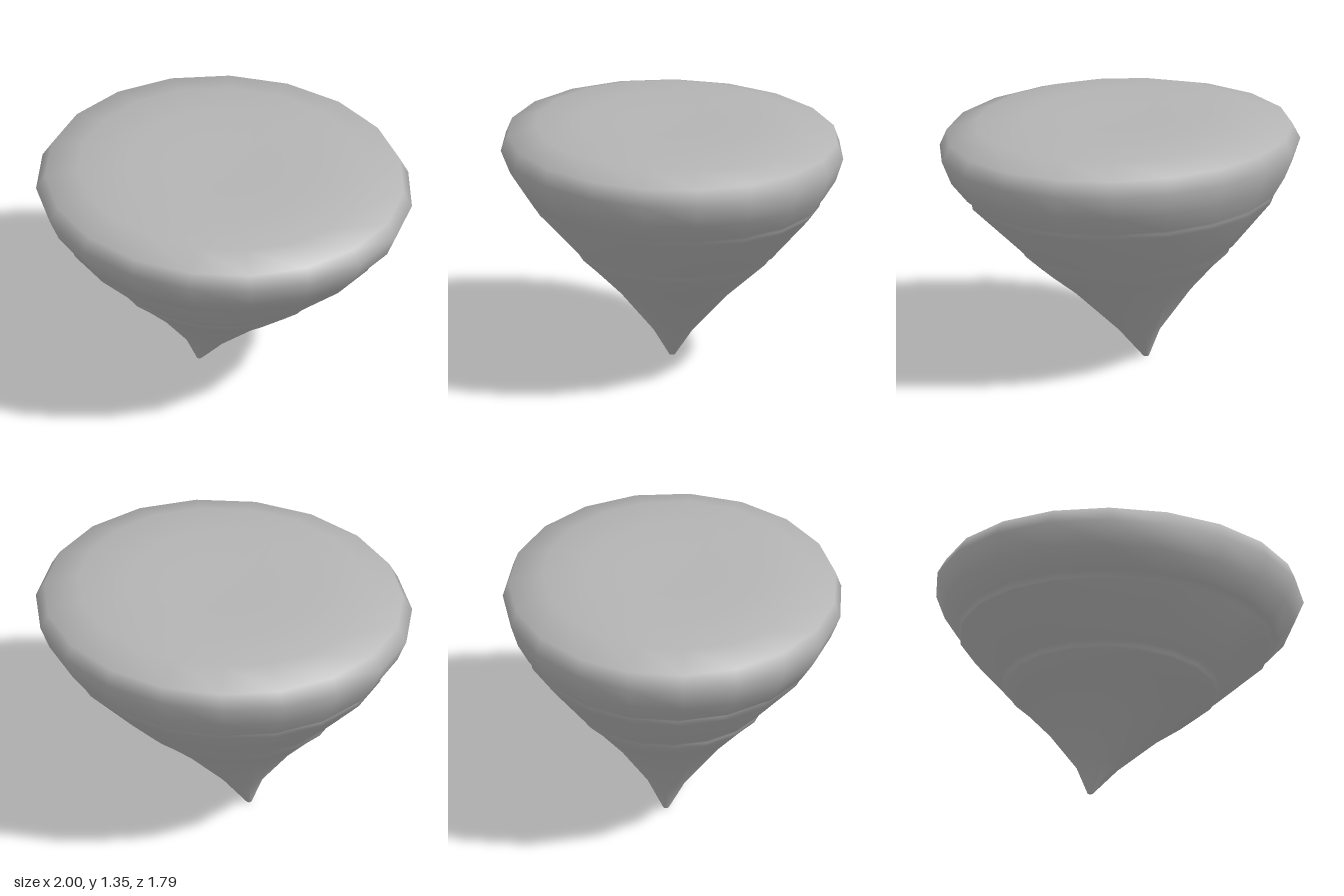
import * as THREE from 'three';
import { mergeVertices } from 'three/addons/utils/BufferGeometryUtils.js';

const SIDES = 19;

// Cross-sections from the tip up: height, min x, max x, min z, max z
const RINGS = [
  [0, -0.145, -0.145, -0.045, -0.045],
  [0, -0.16, -0.13, -0.06, -0.03],
  [0.16, -0.22, 0.01, -0.145, 0.07],
  [0.4, -0.4, 0.27, -0.33, 0.27],
  [0.54, -0.53, 0.45, -0.46, 0.41],
  [0.62, -0.61, 0.54, -0.545, 0.495],
  [0.638, -0.605, 0.55, -0.54, 0.5], // lower groove
  [0.66, -0.625, 0.575, -0.58, 0.52],
  [0.91, -0.86, 0.835, -0.78, 0.75],
  [0.932, -0.85, 0.84, -0.78, 0.725], // upper groove
  [0.953, -0.875, 0.86, -0.8, 0.78],
  [1.06, -0.95, 0.95, -0.86, 0.85],
  [1.185, -1, 1, -0.9, 0.9],
  [1.27, -0.95, 0.955, -0.87, 0.87],
  [1.325, -0.77, 0.78, -0.69, 0.72],
  [1.345, -0.52, 0.53, -0.48, 0.5],
  [1.34, -0.22, 0.25, -0.22, 0.22],
  [1.337, 0.02, 0.02, 0, 0],
];

export function createModel() {
  const model = new THREE.Group();
  model.name = 'spinningTop';

  const grey = new THREE.MeshStandardMaterial({ color: 0xb4b4b4 });
  grey.name = 'grey';

  // Unit lathe with a corner at -x, then each ring is fitted to its cross-section
  const profile = RINGS.map(([y]) => new THREE.Vector2(1, y));
  const lathe = new THREE.LatheGeometry(profile, SIDES, -Math.PI / 2);
  const pos = lathe.attributes.position;
  const reach = Math.cos(Math.PI / SIDES); // flat edge on the +x side
  for (let i = 0; i < pos.count; i++) {
    const [y, x0, x1, z0, z1] = RINGS[i % RINGS.length];
    const rx = (x1 - x0) / (1 + reach);
    const rz = (z1 - z0) / 2;
    pos.setXYZ(i, x0 + rx + pos.getX(i) * rx, y, (z0 + z1) / 2 + pos.getZ(i) * rz);
  }

  // Weld the seam and poles so the shading is smooth all round
  lathe.deleteAttribute('normal');
  lathe.deleteAttribute('uv');
  const geometry = mergeVertices(lathe);
  geometry.computeVertexNormals();

  const body = new THREE.Mesh(geometry, grey);
  body.name = 'body';
  model.add(body);
  return model;
}
